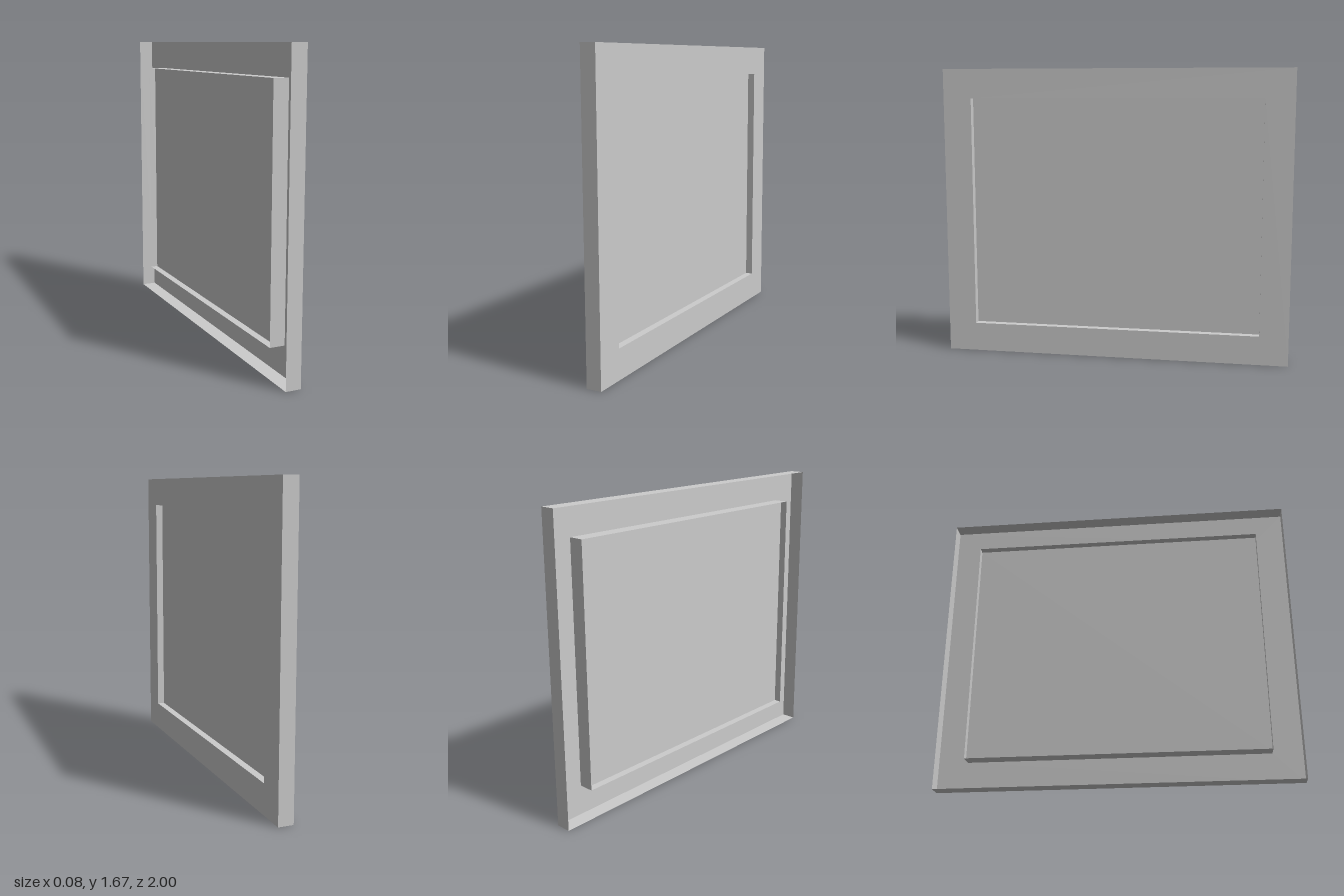
import * as THREE from 'three';

const W = 2, H = 1.667, T = 0.084;     // outer width, height, depth
const w = 1.672, h = 1.333;            // opening width, height

const material = new THREE.MeshStandardMaterial({
  color: 0xcccccc, flatShading: true, side: THREE.DoubleSide,
});

function add(parent, geometry, name) {
  const mesh = new THREE.Mesh(geometry, material);
  mesh.name = name;
  parent.add(mesh);
  return mesh;
}

// Four thin sheets forming a rectangular sleeve, open at both ends
function sleeve(width, height, name) {
  const group = new THREE.Group();
  group.name = name;
  for (const s of [-1, 1]) {
    const side = add(group, new THREE.PlaneGeometry(T, height), s < 0 ? 'leftWall' : 'rightWall');
    side.rotation.y = s * Math.PI / 2;
    side.position.x = s * width / 2;
    const level = add(group, new THREE.PlaneGeometry(width, T), s < 0 ? 'bottomWall' : 'topWall');
    level.rotation.x = -s * Math.PI / 2;
    level.position.y = s * height / 2;
  }
  return group;
}

function rectangle(path, width, height) {
  const x = width / 2, y = height / 2;
  path.moveTo(-x, -y);
  path.lineTo(x, -y);
  path.lineTo(x, y);
  path.lineTo(-x, y);
  path.closePath();
  return path;
}

export function createModel() {
  const model = new THREE.Group();
  model.name = 'framedPanel';

  // Built facing +z, then turned so the face looks along +x
  const frame = new THREE.Group();
  frame.name = 'frame';
  frame.rotation.y = Math.PI / 2;
  frame.position.y = H / 2;
  model.add(frame);

  // Flat border sheet; the hollow behind it is open
  const border = rectangle(new THREE.Shape(), W, H);
  border.holes.push(rectangle(new THREE.Path(), w, h));
  add(frame, new THREE.ShapeGeometry(border), 'frontBorder').position.z = T / 2;

  // Outer rim and the walls of the opening
  frame.add(sleeve(W, H, 'outerRim'));
  frame.add(sleeve(w, h, 'openingWalls'));

  // Panel set halfway into the opening
  add(frame, new THREE.PlaneGeometry(w, h), 'panel');

  return model;
}
